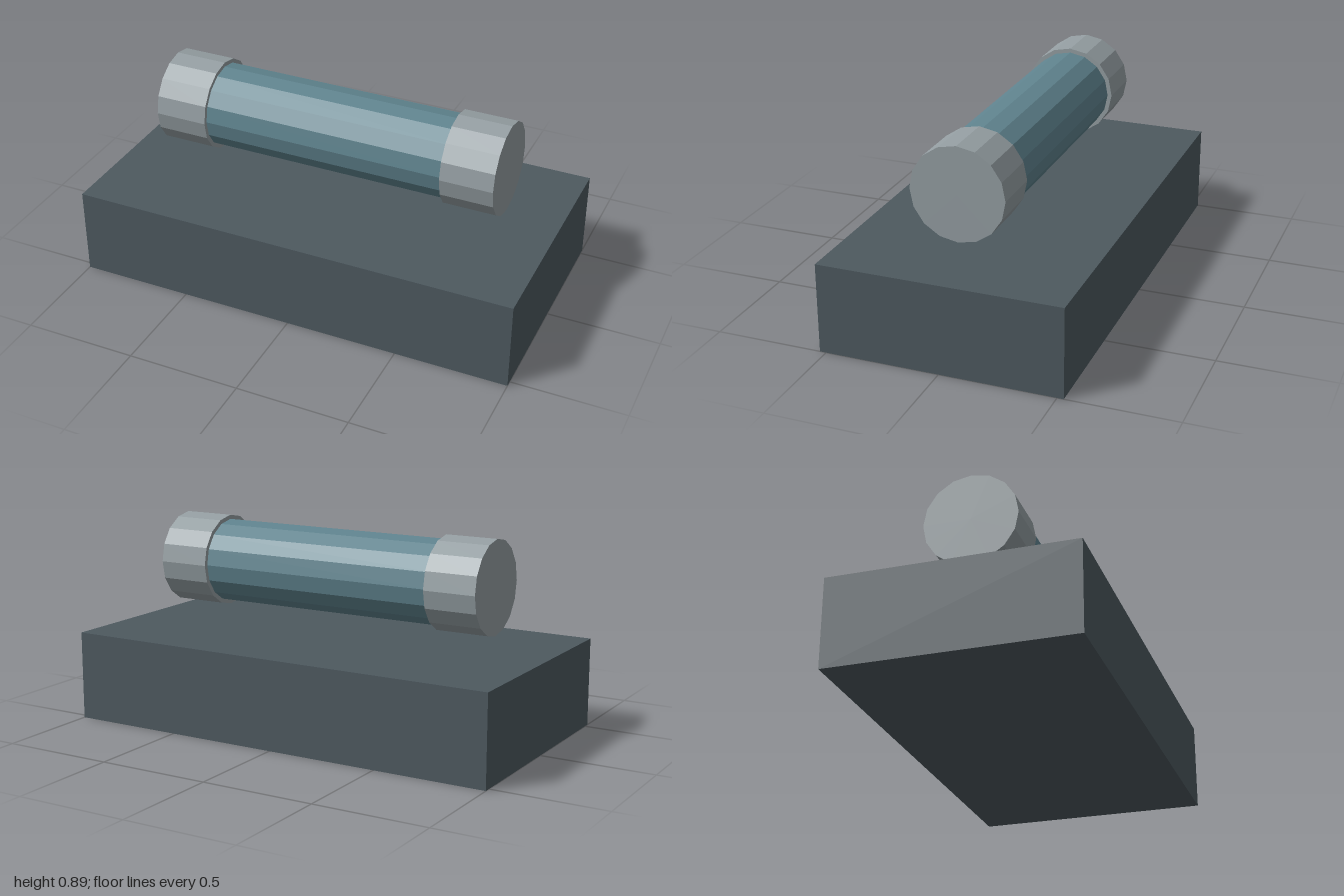
import * as THREE from 'three';

export function createModel() {
  const model = new THREE.Group();
  const mat = (name, color) => {
    const m = new THREE.MeshStandardMaterial({ color });
    m.name = name;
    m.flatShading = true;
    return m;
  };
  const slate = mat('slate', 0x4d595f);
  const silver = mat('silver', 0x949ea2);
  const teal = mat('teal', 0x5f838e);

  const add = (name, geometry, material, x, y) => {
    const mesh = new THREE.Mesh(geometry, material);
    mesh.name = name;
    mesh.position.set(x, y, 0);
    model.add(mesh);
  };
  // Sixteen-sided cylinder lying along x, with a corner at the top
  const rod = (radius, length) =>
    new THREE.CylinderGeometry(radius, radius, length, 16).rotateZ(Math.PI / 2);

  const axisY = 0.688;

  // Base block
  add('base', new THREE.BoxGeometry(2, 0.394, 1.056), slate, 0, 0.197);

  // Floating tube and its two end caps
  add('tube', rod(0.186, 1.2), teal, 0, axisY);
  for (const [name, side] of [['leftCap', 1], ['rightCap', -1]]) {
    add(name, rod(0.205, 0.235), silver, side * 0.6655, axisY);
  }
  return model;
}
